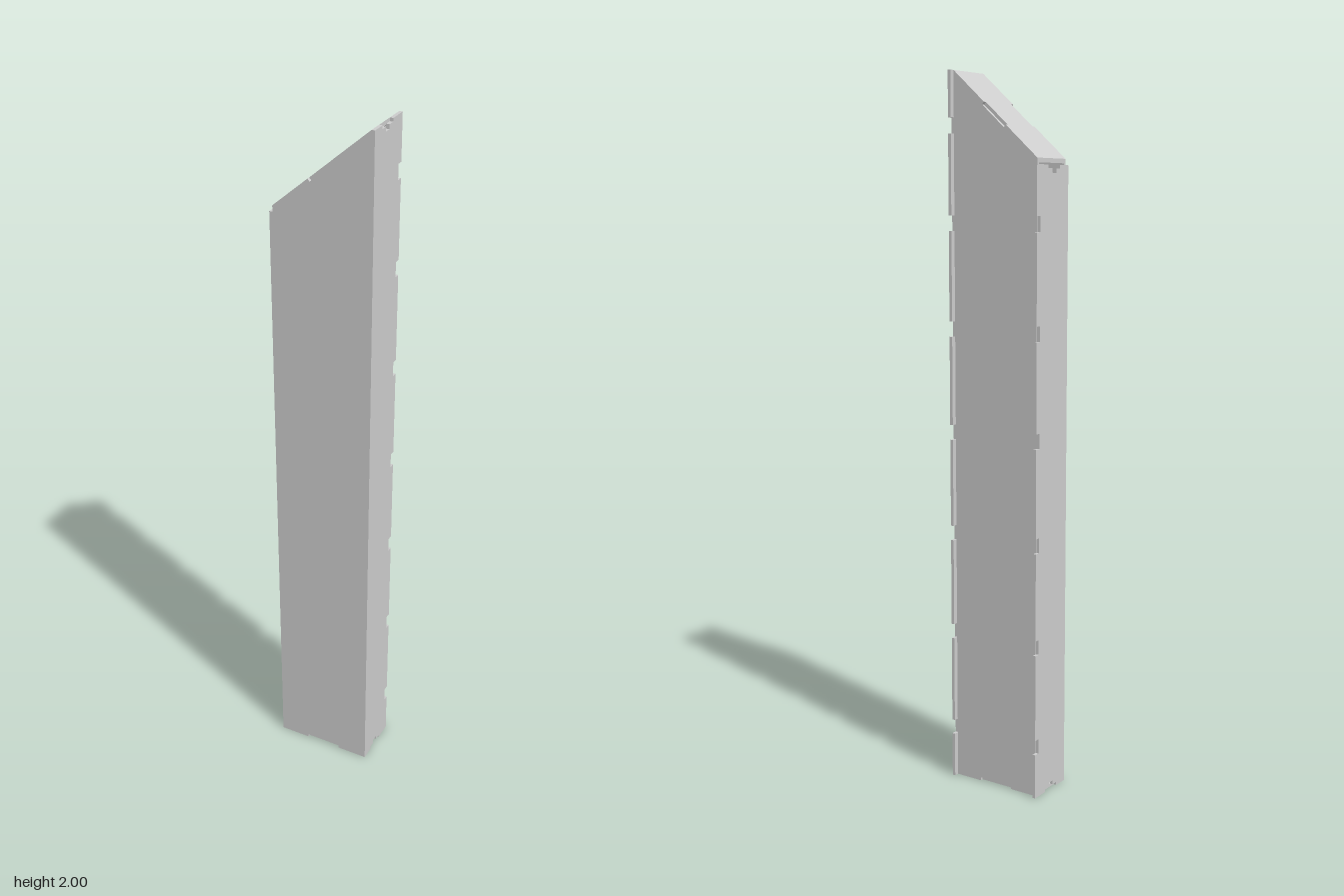
import * as THREE from 'three';

const T = 0.009;                      // sheet thickness
const W = 0.144, IN = 0.135;          // outer and inner half width
const FRONT = 0.076, BACK = -0.062, LIP = -0.076;
const LOW = 1.765, HIGH = 2.0;        // ends of the sloping top
const SLOPE = Math.atan2(HIGH - LOW, 2 * IN);

const material = new THREE.MeshStandardMaterial({ color: 0xcccccc });

function sheet(name, points, depth) {
  const shape = new THREE.Shape(points.map(([x, y]) => new THREE.Vector2(x, y)));
  const geometry = new THREE.ExtrudeGeometry(shape, { depth, bevelEnabled: false });
  const mesh = new THREE.Mesh(geometry, material);
  mesh.name = name;
  return mesh;
}

// Side sheet drawn as (z, y): notched rear lip and stepped slots at both ends
function sidePanel(name, outerX, height, notches) {
  const slot = [[-0.023, 0], [-0.023, T], [-0.003, T], [-0.003, 0.021],
    [0.016, 0.021], [0.016, T], [0.035, T], [0.035, 0]];
  const points = [[LIP, 0], ...slot, [FRONT, 0], [FRONT, height],
    ...slot.map(([z, y]) => [z, height - y]).reverse(), [LIP, height]];
  for (const y of [...notches].reverse()) {
    points.push([LIP, y + 0.021], [-0.06, y + 0.021], [-0.06, y - 0.021], [LIP, y - 0.021]);
  }
  const panel = sheet(name, points, T);
  panel.geometry.rotateY(-Math.PI / 2);
  panel.position.x = outerX;
  return panel;
}

// Broad sheet with a shallow recess at the bottom and one across the slope
function broadPanel(name, z) {
  const slopeY = (x) => LOW + (x + IN) * Math.tan(SLOPE);
  const dx = T * Math.sin(SLOPE), dy = T * Math.cos(SLOPE), r = 0.035;
  const panel = sheet(name, [
    [-IN, 0], [-0.053, 0], [-0.053, T], [0.053, T], [0.053, 0], [IN, 0],
    [IN, HIGH],
    [r, slopeY(r)], [r + dx, slopeY(r) - dy],
    [-r + dx, slopeY(-r) - dy], [-r, slopeY(-r)],
    [-IN, LOW],
  ], T);
  panel.position.z = z;
  return panel;
}

export function createModel() {
  const group = new THREE.Group();
  group.name = 'slantedPanelBox';

  const notches = Array.from({ length: 6 }, (_, i) => 0.149 + 0.289 * i);
  group.add(
    sidePanel('leftPanel', W, HIGH, [...notches, 1.854]),
    sidePanel('rightPanel', -IN, 1.748, notches),
    broadPanel('frontPanel', FRONT - T),
    broadPanel('backPanel', BACK),
  );

  // End plates fit between the front and back sheets
  const depth = FRONT - BACK - 2 * T;
  const drop = T / Math.cos(SLOPE);
  const bottom = sheet('bottomPlate', [[-IN, 0], [IN, 0], [IN, T], [-IN, T]], depth);
  const top = sheet('slopingTopPlate',
    [[-IN, LOW - drop], [IN, HIGH - drop], [IN, HIGH], [-IN, LOW]], depth);
  for (const plate of [bottom, top]) {
    plate.position.z = BACK + T;
    group.add(plate);
  }
  return group;
}
